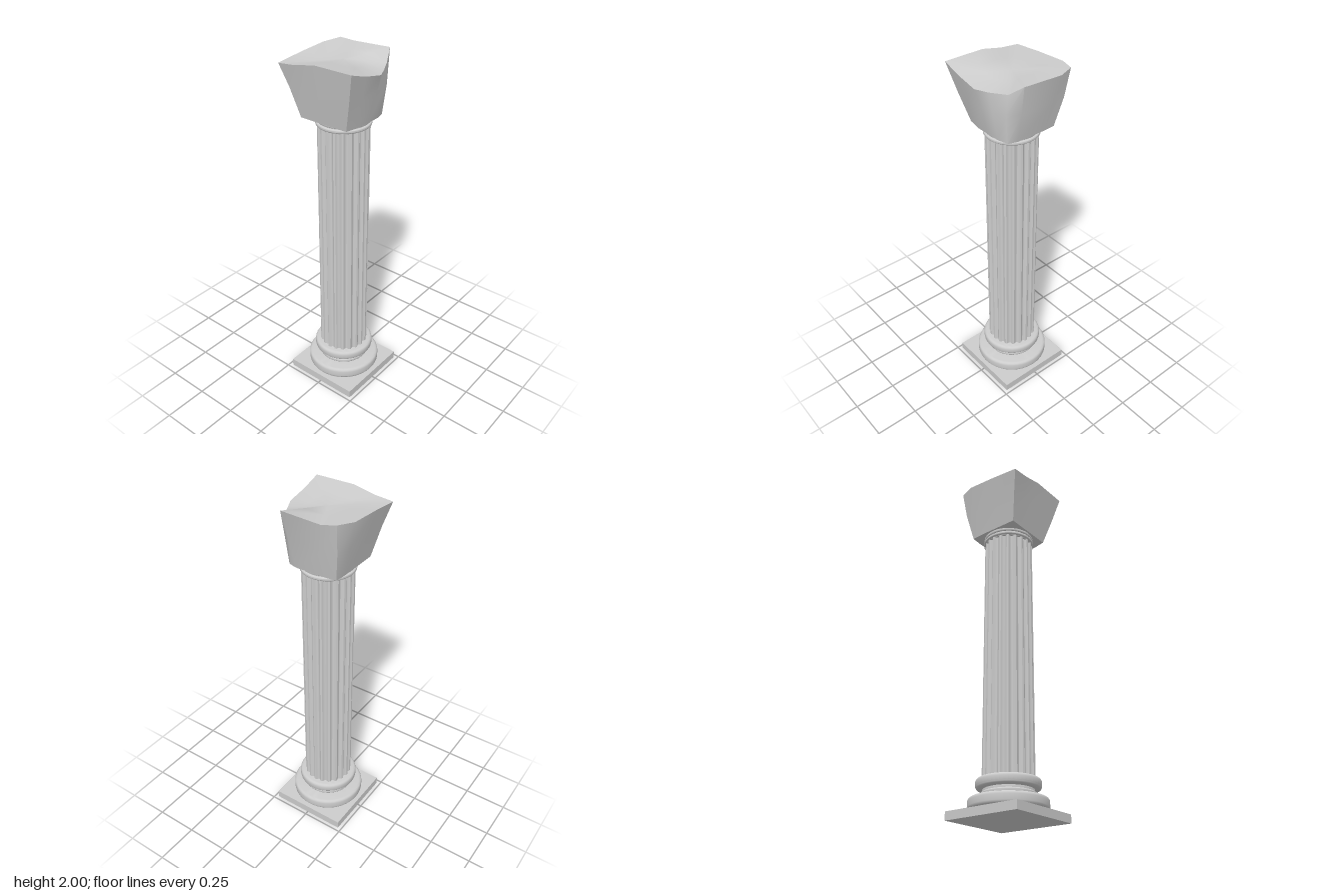
import * as THREE from 'three';
import { toCreasedNormals } from 'three/addons/utils/BufferGeometryUtils.js';

const material = new THREE.MeshStandardMaterial({ color: 0xcccccc });

function addPart(group, name, geometry, crease = 0.6) {
  const mesh = new THREE.Mesh(toCreasedNormals(geometry, crease), material);
  mesh.name = name;
  group.add(mesh);
  return mesh;
}

// Round moulding: a disc with rounded rims between two heights
function moulding(radius, y0, y1, round) {
  const points = [new THREE.Vector2(0, y0)];
  const steps = 4;
  for (const [y, start] of [[y0 + round, -Math.PI / 2], [y1 - round, 0]]) {
    for (let i = 0; i <= steps; i++) {
      const a = start + (i / steps) * Math.PI / 2;
      points.push(new THREE.Vector2(radius - round + Math.cos(a) * round, y + Math.sin(a) * round));
    }
  }
  points.push(new THREE.Vector2(0, y1));
  return new THREE.LatheGeometry(points, 48);
}

// Fluted shaft: narrow flat ridges between hollow grooves
function shaftGeometry(radius, y0, y1) {
  const flutes = 20, depth = 0.013, steps = 6, ridge = 0.25;
  const points = [];
  for (let f = 0; f < flutes; f++) {
    for (let i = 0; i <= steps; i++) {
      const t = i / steps;
      const a = ((f + ridge / 2 + t * (1 - ridge)) / flutes) * Math.PI * 2;
      const r = radius - depth * Math.sin(t * Math.PI);
      points.push(new THREE.Vector2(Math.cos(a) * r, Math.sin(a) * r));
    }
  }
  const geometry = new THREE.ExtrudeGeometry(new THREE.Shape(points), { depth: y1 - y0, bevelEnabled: false });
  return geometry.rotateX(-Math.PI / 2).translate(0, y0, 0);
}

// Broken capital: lofted from a square foot to a wide, uneven top
function capitalGeometry() {
  // Each row: foot x, z, then middle x, z, then rim x, y, z
  const rows = [
    [-0.155, 0.155, -0.193, 0.193, -0.228, 1.965, 0.228],
    [-0.08, 0.155, -0.1, 0.193, -0.12, 1.975, 0.228],
    [0, 0.155, 0, 0.193, 0, 2, 0.228],
    [0.14, 0.155, 0.187, 0.193, 0.228, 2, 0.228],
    [0.155, 0.08, 0.195, 0.1, 0.228, 1.965, 0.12],
    [0.155, 0, 0.198, -0.01, 0.228, 1.94, 0],
    [0.155, -0.08, 0.192, -0.088, 0.195, 1.938, -0.068],
    [0.14, -0.14, 0.158, -0.15, 0.15, 1.945, -0.155],
    [0.09, -0.155, 0.1, -0.193, 0.115, 2, -0.228],
    [-0.08, -0.155, -0.1, -0.193, -0.115, 1.99, -0.228],
    [-0.15, -0.15, -0.178, -0.185, -0.19, 2, -0.21],
    [-0.155, -0.08, -0.193, -0.1, -0.228, 1.99, -0.115],
    [-0.155, 0.04, -0.193, 0.05, -0.228, 1.98, 0.06],
  ];
  const n = rows.length;
  const positions = [];
  const ring = (point) => rows.forEach((row) => positions.push(...point(row)));
  ring((r) => [r[0], 1.675, r[1]]);
  ring((r) => [r[2], 1.84, r[3]]);
  ring((r) => [r[4], r[5], r[6]]);
  // Shallow worn hollow inside the rim
  ring((r) => [r[4] * 0.5, r[5] * 0.5 + 0.985, r[6] * 0.5]);
  positions.push(0, 1.67, 0, 0, 1.972, 0);
  const index = [];
  for (let i = 0; i < n; i++) {
    const j = (i + 1) % n;
    for (let k = 0; k < 3; k++) {
      const a = k * n + i, b = k * n + j;
      index.push(a, b, b + n, a, b + n, a + n);
    }
    index.push(4 * n, j, i, 4 * n + 1, 3 * n + i, 3 * n + j);
  }
  const geometry = new THREE.BufferGeometry();
  geometry.setAttribute('position', new THREE.Float32BufferAttribute(positions, 3));
  geometry.setIndex(index);
  geometry.computeVertexNormals();
  return geometry;
}

export function createModel() {
  const column = new THREE.Group();
  column.name = 'brokenColumn';

  // Square foot
  addPart(column, 'plinth', new THREE.BoxGeometry(0.456, 0.046, 0.456).translate(0, 0.023, 0));

  // Stacked base and neck mouldings
  const mouldings = [
    ['baseSeat', 0.198, 0.044, 0.06, 0.002],
    ['lowerBaseRing', 0.212, 0.052, 0.117, 0.018],
    ['baseNeck', 0.136, 0.11, 0.17, 0.002],
    ['middleBaseRing', 0.148, 0.121, 0.147, 0.01],
    ['upperBaseRing', 0.173, 0.161, 0.217, 0.018],
    ['neckCore', 0.138, 1.63, 1.68, 0.002],
    ['lowerNeckRing', 0.148, 1.634, 1.655, 0.008],
    ['upperNeckRing', 0.145, 1.659, 1.68, 0.006],
  ];
  for (const [name, ...size] of mouldings) addPart(column, name, moulding(...size));

  addPart(column, 'flutedShaft', shaftGeometry(0.14, 0.21, 1.637), 0.5);
  addPart(column, 'brokenCapital', capitalGeometry(), 0.7);
  return column;
}
